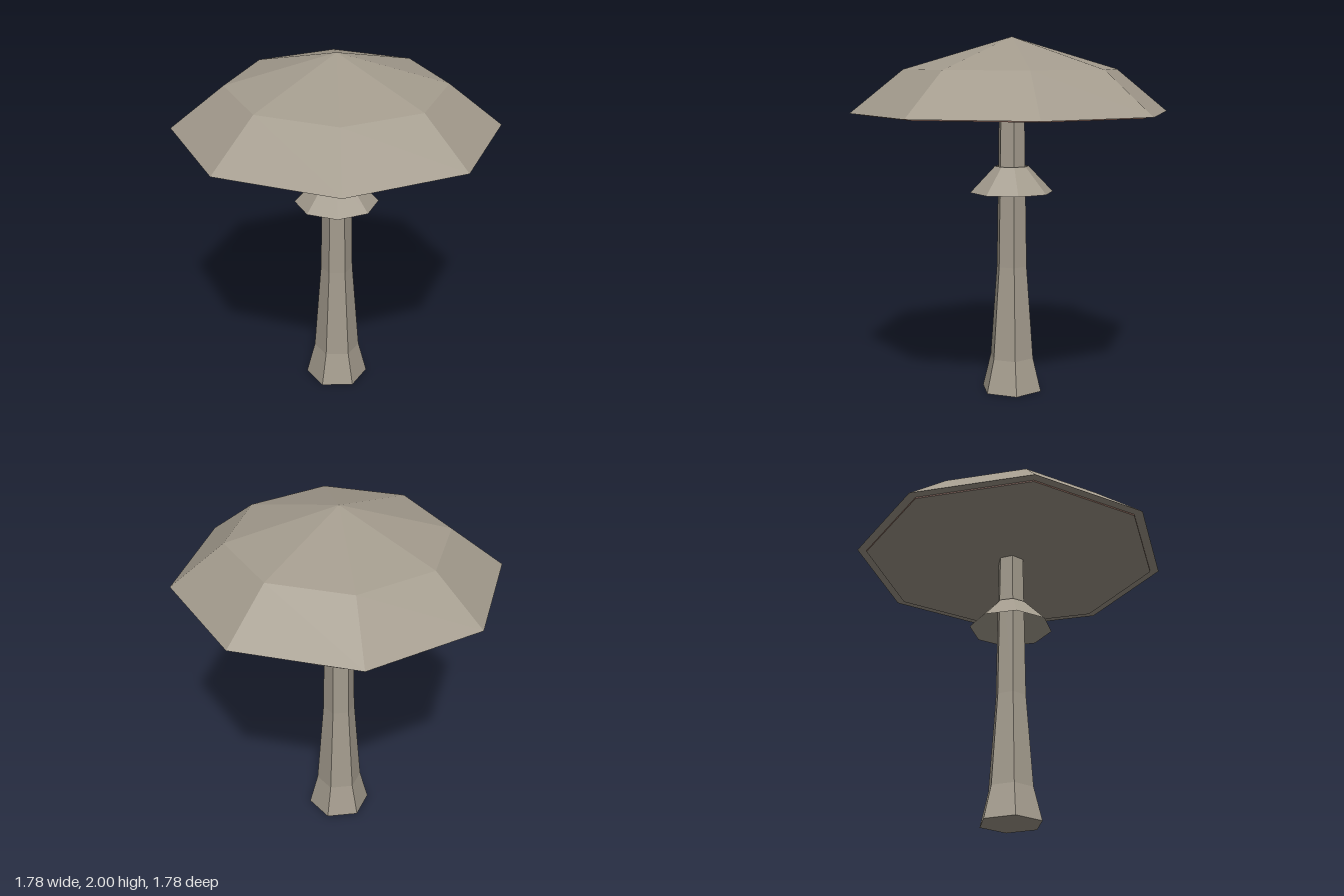
import * as THREE from 'three';

// Faceted solid of revolution; points run from bottom to top
function lathe(name, profile, sides, material, turn = 0) {
  const points = profile.map(([r, y]) => new THREE.Vector2(r, y));
  const mesh = new THREE.Mesh(new THREE.LatheGeometry(points, sides), material);
  mesh.name = name;
  mesh.rotation.y = turn;
  return mesh;
}

export function createModel() {
  const taupe = new THREE.MeshStandardMaterial({ color: 0xa39b8d, flatShading: true });
  taupe.name = 'taupe';
  const skirtTaupe = new THREE.MeshStandardMaterial({ color: 0xa39b8d, flatShading: true, side: THREE.DoubleSide });
  skirtTaupe.name = 'taupe skirt';
  const brown = new THREE.MeshStandardMaterial({ color: 0x7a5a50, flatShading: true });
  brown.name = 'reddish brown';

  const mushroom = new THREE.Group();
  mushroom.name = 'mushroom';

  // Six-sided stem with a flared foot, corners on the x axis
  mushroom.add(lathe('stem', [
    [0, 0], [0.178, 0], [0.13, 0.19], [0.09, 0.72], [0.076, 1.585],
  ], 6, taupe, Math.PI / 6));

  // Open skirt around the stem
  mushroom.add(lathe('skirt', [[0.235, 1.14], [0.095, 1.287]], 8, skirtTaupe));

  // Eight-sided cap, closed underneath
  mushroom.add(lathe('cap', [
    [0, 1.586], [0.892, 1.586], [0.598, 1.823], [0, 2],
  ], 8, taupe));

  // Thin gill plate with a brown edge
  const gills = new THREE.Mesh(
    new THREE.CylinderGeometry(0.84, 0.84, 0.008, 8), [brown, taupe, taupe]);
  gills.name = 'gills';
  gills.position.y = 1.582;
  mushroom.add(gills);

  return mushroom;
}
